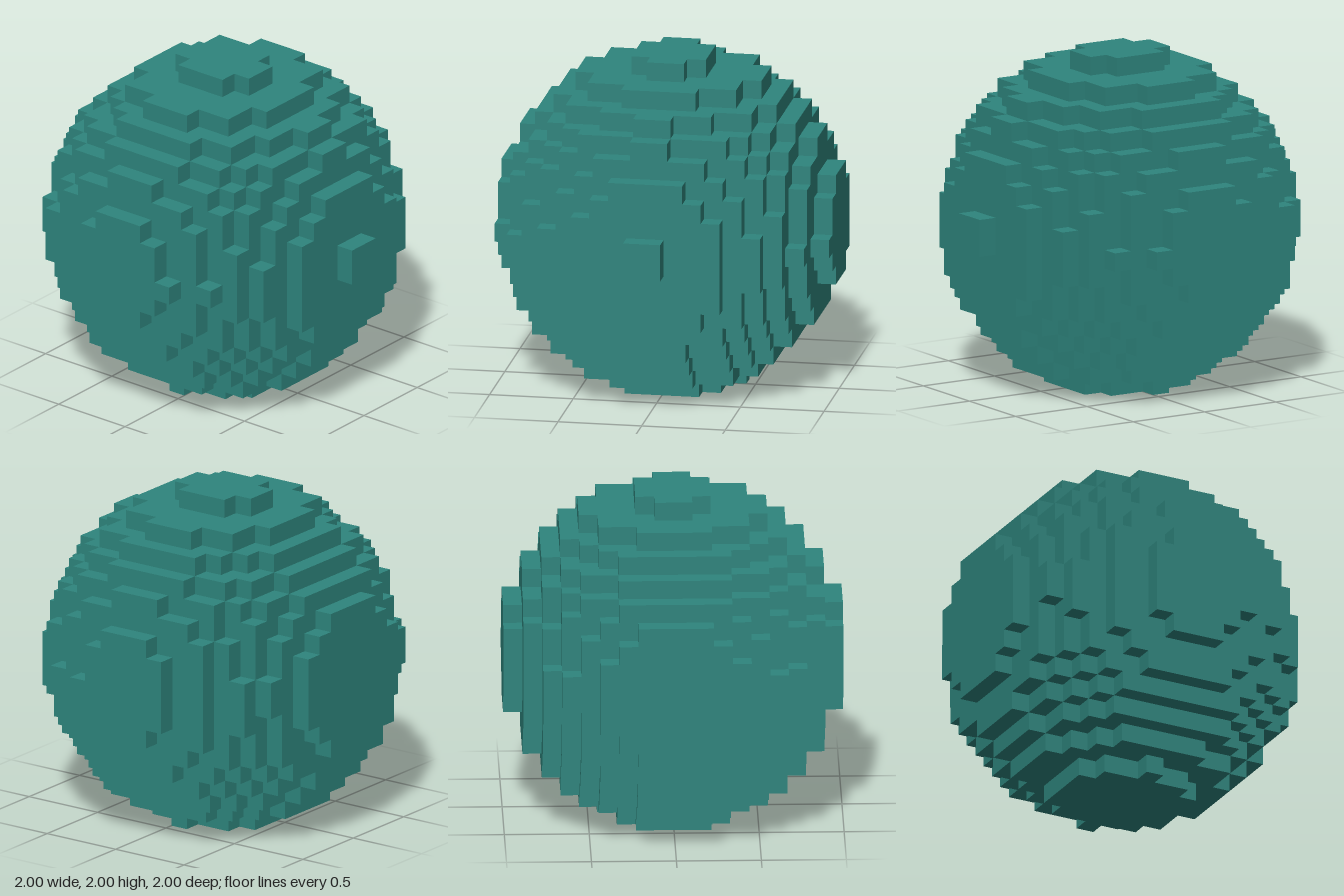
import * as THREE from 'three';
import { mergeGeometries } from 'three/addons/utils/BufferGeometryUtils.js';

const CELLS = 18;                 // blocks along each axis
const SIZE = 2 / CELLS;           // edge of one block
const HALF = CELLS / 2;
const CENTER = new THREE.Vector3(-0.45, -0.21, 0); // ball centre, in blocks
const RADIUS_SQ = 81.2066;        // squared ball radius, in blocks

// A block is solid when its middle lies inside the ball
function solid(x, y, z) {
  if (Math.max(Math.abs(x), Math.abs(y), Math.abs(z)) > HALF) return false;
  return (x - CENTER.x) ** 2 + (y - CENTER.y) ** 2 + (z - CENTER.z) ** 2 <= RADIUS_SQ;
}

// One square block face for each of the six directions
const directions = [
  [1, 0, 0], [-1, 0, 0], [0, 1, 0], [0, -1, 0], [0, 0, 1], [0, 0, -1],
].map(([x, y, z]) => {
  const normal = new THREE.Vector3(x, y, z);
  const turn = new THREE.Quaternion().setFromUnitVectors(new THREE.Vector3(0, 0, 1), normal);
  const face = new THREE.PlaneGeometry(SIZE, SIZE)
    .applyQuaternion(turn)
    .translate(x * SIZE / 2, y * SIZE / 2, z * SIZE / 2);
  return { normal, face };
});

// Keep only the block faces that border on empty space
function blockBallGeometry() {
  const faces = [];
  for (let x = 0.5 - HALF; x < HALF; x++) {
    for (let y = 0.5 - HALF; y < HALF; y++) {
      for (let z = 0.5 - HALF; z < HALF; z++) {
        if (!solid(x, y, z)) continue;
        for (const { normal, face } of directions) {
          if (solid(x + normal.x, y + normal.y, z + normal.z)) continue;
          faces.push(face.clone().translate(x * SIZE, y * SIZE + 1, z * SIZE));
        }
      }
    }
  }
  return mergeGeometries(faces);
}

export function createModel() {
  const group = new THREE.Group();
  group.name = 'blockBall';
  const teal = new THREE.MeshStandardMaterial({ color: 0x2e857d });
  teal.name = 'teal';
  const ball = new THREE.Mesh(blockBallGeometry(), teal);
  ball.name = 'steppedSphere';
  group.add(ball);
  return group;
}
